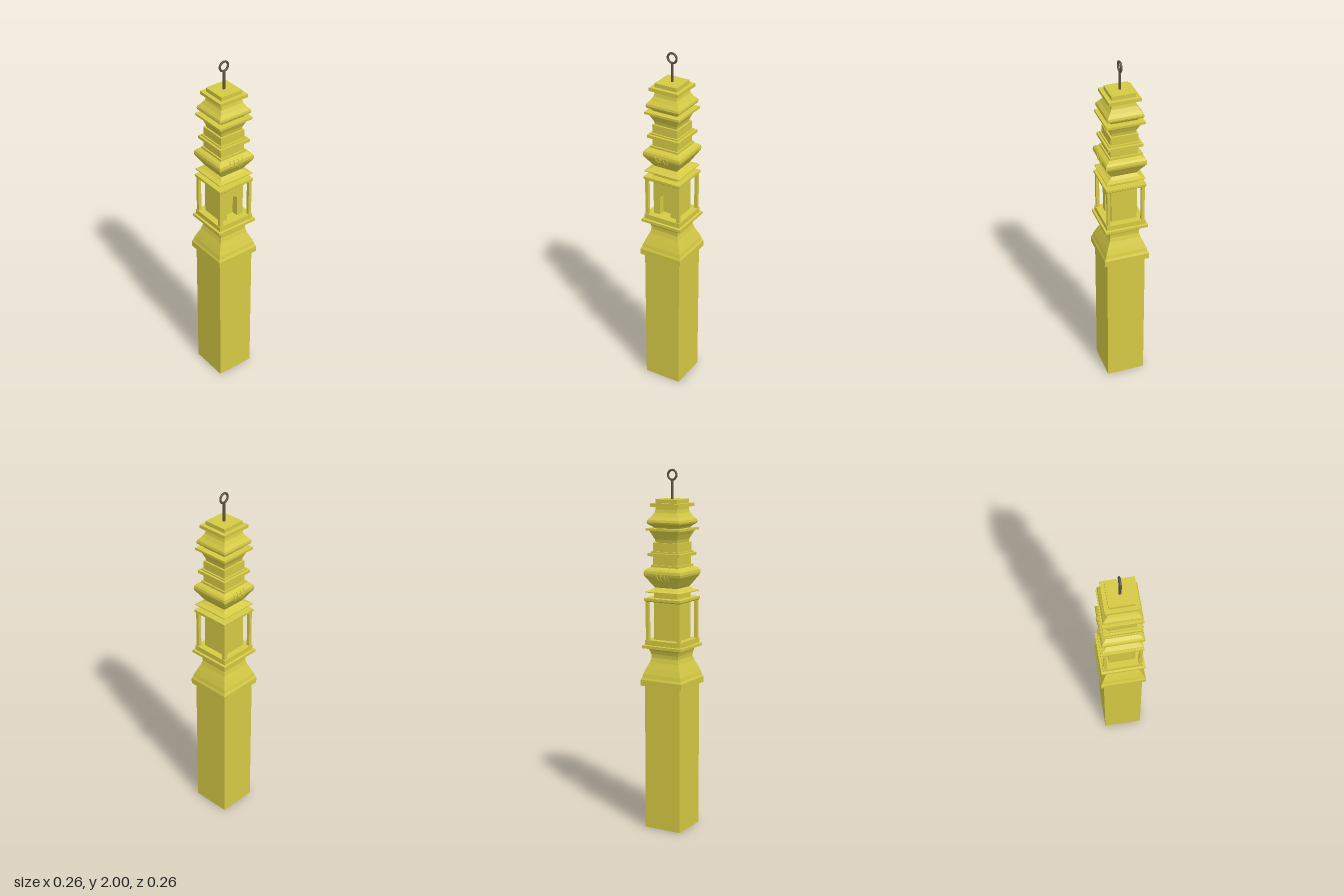
import * as THREE from 'three';

const stone = new THREE.MeshStandardMaterial({ color: 0xd4c944, flatShading: true });
const iron = new THREE.MeshStandardMaterial({ color: 0x5c5242 });

export function createModel() {
  const group = new THREE.Group();

  const add = (name, geometry, material = stone, parent = group) => {
    const mesh = new THREE.Mesh(geometry, material);
    mesh.name = name;
    parent.add(mesh);
    return mesh;
  };

  // Square moulding: profile of [half width, height], bottom to top, closed at both ends
  const moulding = (name, profile) => {
    const pts = [[0, profile[0][1]], ...profile, [0, profile.at(-1)[1]]]
      .map(([w, y]) => new THREE.Vector2(w * Math.SQRT2, y));
    return add(name, new THREE.LatheGeometry(pts, 4, Math.PI / 4));
  };

  moulding('shaft', [[0.11, 0], [0.11, 0.825]]);
  moulding('lowerCollar', [[0.128, 0.82], [0.128, 0.853], [0.122, 0.865]]);
  moulding('flaredPedestal', [
    [0.122, 0.865], [0.117, 0.885], [0.104, 0.918], [0.09, 0.95],
    [0.083, 0.975], [0.084, 0.995], [0.09, 1.015], [0.1, 1.032],
  ]);
  moulding('chamberFloor', [[0.122, 1.03], [0.122, 1.045], [0.11, 1.047], [0.11, 1.075]]);

  // Chamber: solid back with an arched niche on the +x side
  const back = add('chamberCore', new THREE.BoxGeometry(0.108, 0.215, 0.146));
  back.position.set(-0.019, 1.1825, 0);
  const wall = new THREE.Shape();
  wall.moveTo(-0.073, 1.075);
  wall.lineTo(-0.034, 1.075);
  wall.lineTo(-0.034, 1.178);
  wall.absarc(0, 1.178, 0.034, Math.PI, 0, true);
  wall.lineTo(0.034, 1.075);
  wall.lineTo(0.073, 1.075);
  wall.lineTo(0.073, 1.29);
  wall.lineTo(-0.073, 1.29);
  const niche = add('archedNiche', new THREE.ExtrudeGeometry(wall, { depth: 0.038, bevelEnabled: false, curveSegments: 10 }));
  niche.rotation.y = Math.PI / 2;
  niche.position.x = 0.035;

  // Corner posts
  for (const x of [-1, 1]) for (const z of [-1, 1]) {
    const post = add('cornerPost', new THREE.BoxGeometry(0.018, 0.215, 0.018));
    post.position.set(x * 0.097, 1.1825, z * 0.097);
  }

  moulding('chamberCornice', [[0.106, 1.287], [0.112, 1.293], [0.112, 1.306]]);
  moulding('corniceNeck', [[0.073, 1.3], [0.073, 1.342]]);
  moulding('eaves', [[0.108, 1.337], [0.108, 1.342], [0.085, 1.35], [0.066, 1.365]]);
  moulding('lowerBulge', [
    [0.066, 1.36], [0.077, 1.375], [0.096, 1.405], [0.111, 1.428],
    [0.114, 1.441], [0.112, 1.455], [0.104, 1.465], [0.085, 1.475], [0.085, 1.486],
  ]);
  moulding('middleNeck', [[0.076, 1.485], [0.076, 1.54]]);
  moulding('middleBand', [[0.097, 1.535], [0.097, 1.551], [0.085, 1.552], [0.085, 1.56]]);
  moulding('upperNeck', [[0.076, 1.555], [0.076, 1.607]]);
  moulding('upperFlare', [[0.065, 1.605], [0.069, 1.625], [0.08, 1.65], [0.092, 1.673]]);
  moulding('upperBand', [[0.106, 1.673], [0.106, 1.685]]);
  moulding('upperBulge', [
    [0.07, 1.683], [0.076, 1.693], [0.098, 1.709], [0.101, 1.718], [0.098, 1.73],
    [0.083, 1.747], [0.07, 1.768], [0.066, 1.785], [0.066, 1.805],
  ]);
  moulding('capBand', [[0.088, 1.8], [0.088, 1.818]]);
  moulding('cap', [[0.066, 1.815], [0.066, 1.84]]);

  // Raised ribs following the lower bulge on the two x sides
  const section = [
    [0.09, 1.405], [0.1, 1.404], [0.113, 1.422], [0.118, 1.441],
    [0.115, 1.457], [0.109, 1.466], [0.1, 1.466],
  ].map(([x, y]) => new THREE.Vector2(x, y));
  for (const turn of [0, Math.PI]) {
    const ribs = new THREE.Group();
    ribs.name = 'bulgeRibs';
    ribs.rotation.y = turn;
    for (const z of [-0.038, -0.013, 0.013, 0.038]) {
      const geo = new THREE.ExtrudeGeometry(new THREE.Shape(section), { depth: 0.008, bevelEnabled: false });
      // Outer ribs bow towards the centre at their lower end
      const p = geo.attributes.position;
      for (let i = 0; i < p.count; i++) {
        const lean = Math.abs(z) > 0.02 ? 0.75 + 0.25 * Math.min(1, (p.getY(i) - 1.404) / 0.04) : 1;
        p.setZ(i, p.getZ(i) - 0.004 + z * lean);
      }
      geo.computeVertexNormals();
      add('rib', geo, stone, ribs);
    }
    add('ribBridge', new THREE.BoxGeometry(0.02, 0.008, 0.026), stone, ribs).position.set(0.105, 1.436, 0);
    group.add(ribs);
  }

  // Hanging rod and ring
  add('rod', new THREE.CylinderGeometry(0.007, 0.007, 0.11, 12), iron).position.y = 1.89;
  const ring = add('ring', new THREE.TorusGeometry(0.026, 0.006, 10, 32), iron);
  ring.rotation.y = Math.PI / 2;
  ring.position.y = 1.968;

  return group;
}
